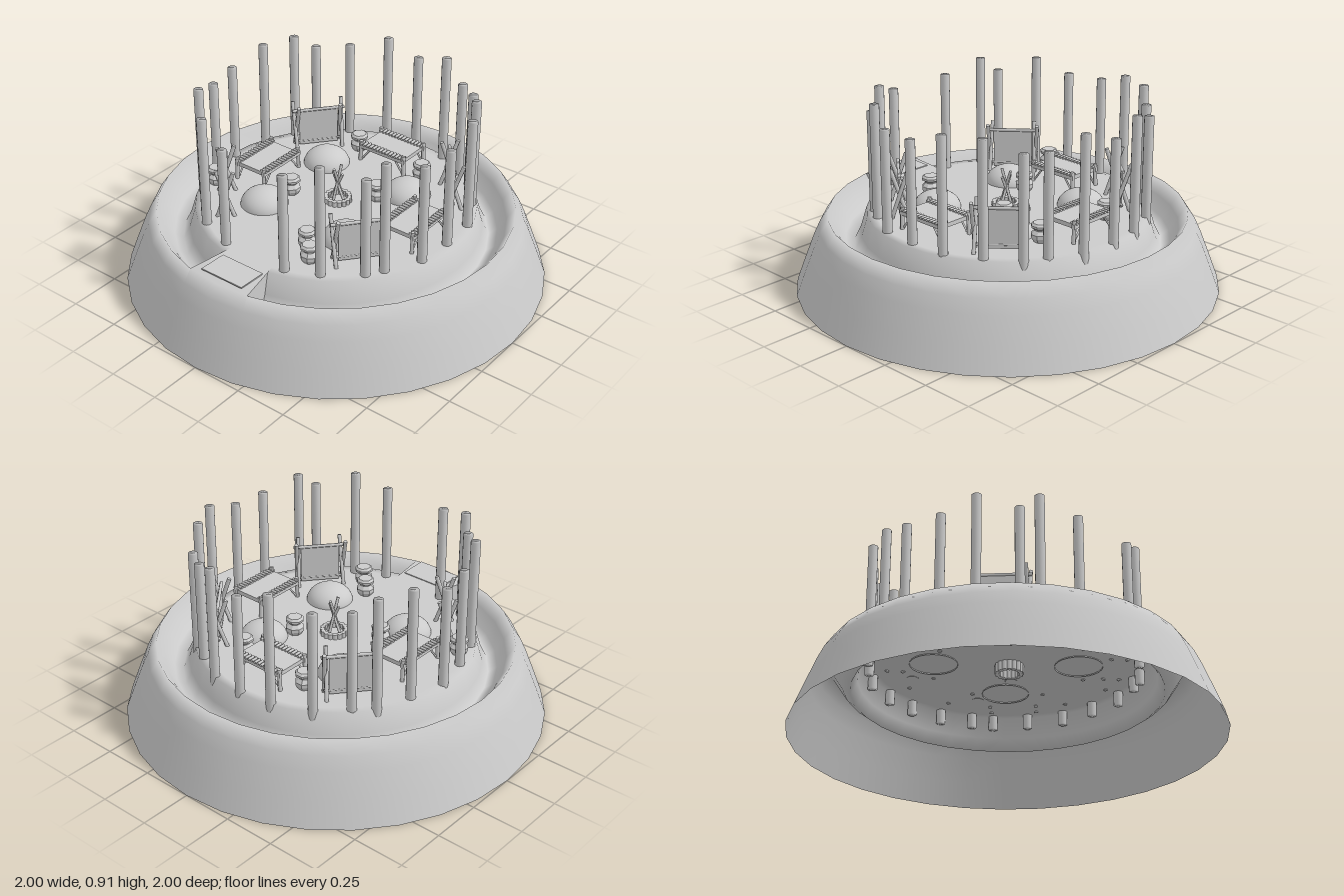
import * as THREE from 'three';

const mat = new THREE.MeshStandardMaterial({ color: 0xcccccc, side: THREE.DoubleSide });
const flat = new THREE.MeshStandardMaterial({ color: 0xcccccc, side: THREE.DoubleSide, flatShading: true });
const FLOOR = 0.368;

function add(parent, name, geo, x = 0, y = 0, z = 0, m = mat) {
  const mesh = new THREE.Mesh(geo, m);
  mesh.name = name;
  mesh.position.set(x, y, z);
  parent.add(mesh);
  return mesh;
}

function group(parent, name, x, z, turn = 0) {
  const g = new THREE.Group();
  g.name = name;
  g.position.set(x, FLOOR, z);
  g.rotation.y = turn;
  parent.add(g);
  return g;
}

// Round stick between two points
function stick(parent, name, a, b, r) {
  const from = new THREE.Vector3(...a), dir = new THREE.Vector3(...b).sub(from);
  const mesh = add(parent, name, new THREE.CylinderGeometry(r, r, dir.length(), 6));
  mesh.position.copy(from).addScaledVector(dir, 0.5);
  mesh.quaternion.setFromUnitVectors(new THREE.Vector3(0, 1, 0), dir.normalize());
}

const profile = (pts) => pts.map(([x, y]) => new THREE.Vector2(x, y));

// Low table with a row of short logs along both long edges
function logTable(parent, x, z, turn) {
  const g = group(parent, 'logTable', x, z, turn);
  add(g, 'tableTop', new THREE.BoxGeometry(0.25, 0.02, 0.16), 0, 0.078, 0);
  for (const s of [-1, 1]) {
    add(g, 'sideRail', new THREE.BoxGeometry(0.27, 0.02, 0.016), 0, 0.08, s * 0.083);
    for (let i = 0; i < 14; i++) {
      const log = add(g, 'edgeLog', new THREE.CylinderGeometry(0.007, 0.007, 0.034, 6),
        -0.122 + i * 0.0188, 0.094, s * 0.08);
      log.rotation.x = Math.PI / 2;
    }
    for (const e of [-1, 1]) {
      stick(g, 'tableLeg', [e * 0.13, -0.005, s * 0.083], [e * 0.125, 0.108, s * 0.083], 0.01);
      stick(g, 'legBrace', [e * 0.12, 0.01, s * 0.08], [e * 0.07, 0.075, s * 0.08], 0.005);
    }
  }
}

// Hanging panel stretched between two pairs of crossed poles
function hideRack(parent, x, z, turn) {
  const g = group(parent, 'hideRack', x, z, turn);
  add(g, 'hidePanel', new THREE.BoxGeometry(0.19, 0.19, 0.008), 0, 0.107, 0);
  stick(g, 'topBar', [-0.13, 0.2, 0], [0.13, 0.2, 0], 0.008);
  stick(g, 'lowBar', [-0.12, 0.03, 0], [0.12, 0.03, 0], 0.006);
  for (const e of [-1, 1])
    for (const s of [-1, 1])
      stick(g, 'crossedPole', [e * 0.112, -0.005, s * 0.04], [e * (0.112 + s * 0.009), 0.235, -s * 0.04], 0.01);
}

export function createModel() {
  const model = new THREE.Group();

  // Hollow hill with a ditch around the camp floor, bridged at the front
  const slope = [[1, 0], [0.955, 0.12], [0.91, 0.235], [0.88, 0.3], [0.84, 0.36]];
  const ditch = [[0.84, 0.36], [0.8, 0.3], [0.76, 0.24], [0.72, 0.21], [0.69, 0.27], [0.66, FLOOR]];
  const floor = [[0.62, FLOOR], [0, FLOOR]];
  const gap = Math.PI / 16;
  add(model, 'hill', new THREE.LatheGeometry(
    profile([...slope, ...ditch.slice(1), ...floor]), 30, gap, Math.PI * 2 - gap * 2));
  add(model, 'hillBridge', new THREE.LatheGeometry(
    profile([...slope, [0.66, FLOOR], ...floor]), 2, -gap, gap * 2));
  for (const s of [-1, 1])
    add(model, 'ditchEnd', new THREE.ShapeGeometry(new THREE.Shape(profile(ditch))))
      .rotation.y = s * gap - Math.PI / 2;

  // Flat pad at the entrance
  const pad = add(model, 'entrancePad', new THREE.BoxGeometry(0.23, 0.006, 0.14), 0.005, 0.371, 0.74);
  pad.rotation.x = -0.03;

  // Palisade posts: x, z, top height
  const posts = [
    [0, -0.645, 0.85], [-0.165, -0.625, 0.91], [0.175, -0.625, 0.91], [-0.343, -0.55, 0.85], [0.32, -0.55, 0.85],
    [0.415, -0.495, 0.85], [-0.465, -0.435, 0.85], [-0.54, -0.357, 0.91], [0.52, -0.357, 0.91],
    [-0.6, -0.197, 0.91], [0.605, -0.197, 0.91], [-0.64, -0.015, 0.85], [0.617, -0.015, 0.85],
    [-0.6, 0.162, 0.85], [0.605, 0.162, 0.85], [-0.54, 0.325, 0.91], [0.52, 0.325, 0.91],
    [-0.405, 0.458, 0.85], [0.473, 0.4, 0.85], [-0.343, 0.52, 0.91], [0.32, 0.52, 0.91],
    [-0.165, 0.588, 0.85], [0.173, 0.588, 0.85],
  ];
  for (const [x, z, top] of posts)
    add(model, 'post', new THREE.LatheGeometry(
      profile([[0, 0.3], [0.023, 0.3], [0.023, top], [0, top]]), 12), x, 0, z);

  // Flattened dome huts
  for (const [x, z] of [[-0.245, -0.24], [0.237, -0.24], [-0.245, 0.23], [0.237, 0.23]])
    add(model, 'domeHut', new THREE.SphereGeometry(0.113, 24, 12, 0, Math.PI * 2, 0, Math.PI / 2),
      x, 0.362, z).scale.y = 0.75;

  // Log tables
  logTable(model, 0, -0.443, 0);
  logTable(model, -0.407, 0.012, Math.PI / 2);
  logTable(model, 0.453, 0.012, Math.PI / 2);

  // Hide racks on the four diagonals
  hideRack(model, -0.383, -0.347, 0.87);
  hideRack(model, 0.41, -0.35, -0.87);
  hideRack(model, -0.385, 0.337, -0.87);
  hideRack(model, 0.385, 0.327, 0.87);

  // Eight-sided lidded pots
  const pot = new THREE.LatheGeometry(profile([[0, 0], [0.03, 0], [0.044, 0.022], [0.044, 0.038],
    [0.028, 0.055], [0.028, 0.06], [0.044, 0.07], [0.044, 0.08], [0.034, 0.09], [0, 0.09]]), 8);
  for (const [x, z] of [[-0.195, -0.437], [0.207, -0.4], [0.15, -0.12], [-0.202, 0.083],
    [-0.54, 0.235], [0.135, 0.38], [0.217, 0.465]])
    add(model, 'pot', pot, x, FLOOR - 0.001, z, flat).rotation.y = Math.PI / 8;

  // Campfire with a stone ring and leaning logs
  const fire = group(model, 'campfire', 0.01, 0);
  for (let i = 0; i < 16; i++) {
    const a = i / 16 * Math.PI * 2;
    add(fire, 'fireStone', new THREE.CylinderGeometry(0.012, 0.012, 0.07, 8), Math.cos(a) * 0.056, -0.01, Math.sin(a) * 0.056);
  }
  for (let i = 0; i < 4; i++) {
    const a = i * Math.PI / 2, c = Math.cos(a), s = Math.sin(a);
    stick(fire, 'fireLog', [c * 0.04, 0, s * 0.04], [-c * 0.028, 0.15 + (i % 2) * 0.03, -s * 0.028], 0.007);
  }
  return model;
}
